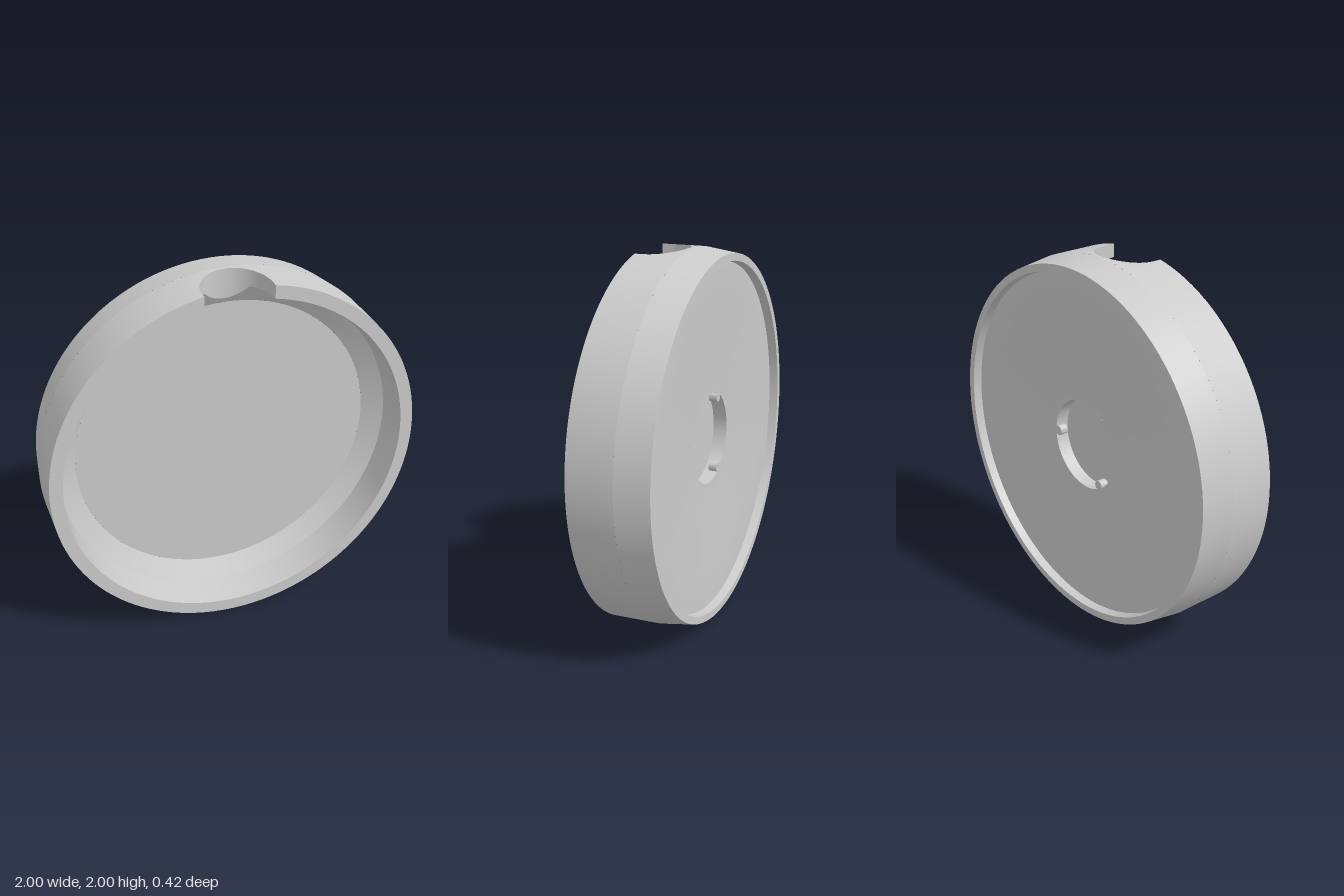
import * as THREE from 'three';
import { toCreasedNormals } from 'three/addons/utils/BufferGeometryUtils.js';

const material = new THREE.MeshStandardMaterial({ color: 0xcccccc });
const FRONT = 0.21, FLOOR = -0.033, FLOOR_R = 0.81, STEP = 0.03, STEP_R = 0.915, RIM_R = 0.93;
const NOTCH_R = 0.18, NOTCH_Z = 0.165, WAIST = -0.035;

function add(group, name, geometry, crease = 0.4) {
  const mesh = new THREE.Mesh(toCreasedNormals(geometry, crease), material);
  mesh.name = name;
  group.add(mesh);
  return mesh;
}

// Inner radius of the wall at depth z: sloped foot, then nearly straight wall
function innerRadius(z) {
  return z > STEP
    ? STEP_R + (RIM_R - STEP_R) * (z - STEP) / (FRONT - STEP)
    : FLOOR_R + (STEP_R - FLOOR_R) * (z - FLOOR) / (STEP - FLOOR);
}

// Cross-section of the wall, cut off at depth top
function wallSection(top) {
  const mid = Math.min(top, STEP);
  return [[1, WAIST], [1, top], [innerRadius(top), top], [innerRadius(mid), mid], [FLOOR_R, FLOOR]];
}

// Wall swept round the axis; the columns at the top follow the round notch
function wallGeometry() {
  const columns = [];
  const notchSteps = 32, ringSteps = 120;
  for (let i = 0; i <= notchSteps; i++) {
    const t = Math.PI * (i / notchSteps - 0.5);
    const x = NOTCH_R * Math.sin(t);
    columns.push({ top: NOTCH_Z - NOTCH_R * Math.cos(t), angle: r => Math.asin(x / r) });
  }
  for (let i = 0; i <= ringSteps; i++) {
    const f = i / ringSteps;
    columns.push({
      top: FRONT,
      angle: r => { const a = Math.asin(NOTCH_R / r); return a + f * 2 * (Math.PI - a); },
    });
  }
  const positions = [], index = [], rows = 5;
  for (const { top, angle } of columns) {
    for (const [r, z] of wallSection(top)) {
      positions.push(r * Math.sin(angle(r)), r * Math.cos(angle(r)), z);
    }
  }
  columns.forEach((_, c) => {
    const next = (c + 1) % columns.length;
    for (let j = 0; j < rows - 1; j++) {
      const a = c * rows + j, b = next * rows + j;
      index.push(a, a + 1, b, a + 1, b + 1, b);
    }
  });
  const geometry = new THREE.BufferGeometry();
  geometry.setAttribute('position', new THREE.Float32BufferAttribute(positions, 3));
  geometry.setIndex(index);
  geometry.computeVertexNormals();
  return geometry;
}

export function createModel() {
  const group = new THREE.Group();
  group.name = 'roundCase';
  const body = new THREE.Group();
  body.name = 'caseBody';
  body.position.y = 1;
  group.add(body);

  add(body, 'notchedWall', wallGeometry());

  // Flat floor inside the front
  add(body, 'innerFloor', new THREE.CircleGeometry(FLOOR_R, 120)).position.z = FLOOR;

  // Back: central socket, shallow dish, raised rim and tapered outside
  const profile = [
    [0, -0.06], [0.245, -0.06], [0.245, -0.135], [0.3, -0.135], [0.72, -0.162],
    [0.93, -0.162], [0.935, -0.21], [0.975, -0.21], [1, WAIST],
  ].map(([r, z]) => new THREE.Vector2(r, z));
  add(body, 'dishedBack', new THREE.LatheGeometry(profile, 120).rotateX(Math.PI / 2));

  // Three locking pins round the socket
  for (let i = 0; i < 3; i++) {
    const a = i * Math.PI * 2 / 3;
    const pin = add(body, 'socketPin', new THREE.CylinderGeometry(0.027, 0.027, 0.045, 20).rotateX(Math.PI / 2));
    pin.position.set(0.228 * Math.cos(a), 0.228 * Math.sin(a), -0.1127);
  }
  return group;
}
